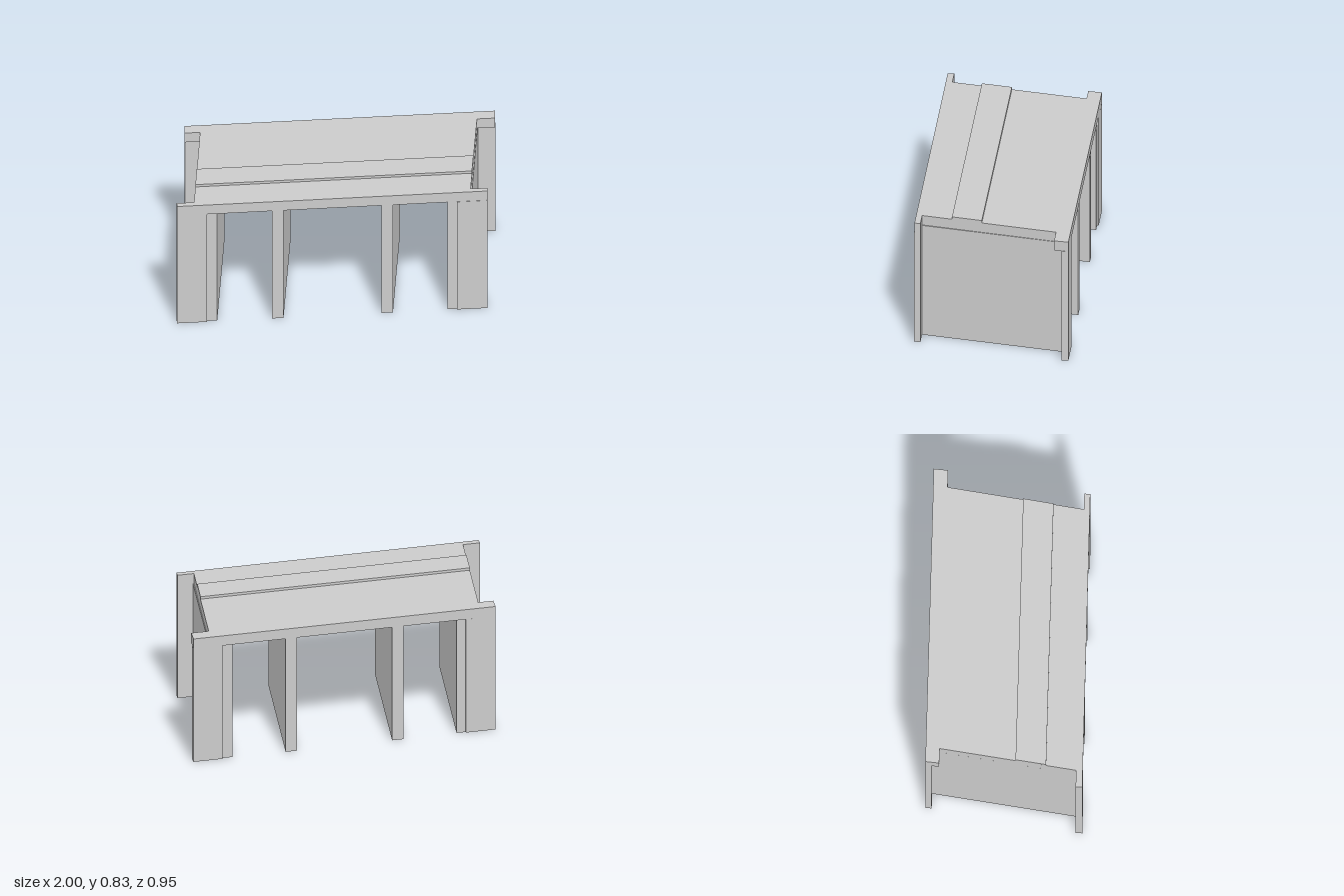
import * as THREE from 'three';

const material = new THREE.MeshStandardMaterial({ color: 0xcccccc, flatShading: true });

// Upright prism from a plan outline of [x, z] corners
function prism(name, plan, y0, y1) {
  const shape = new THREE.Shape(plan.map(([x, z]) => new THREE.Vector2(x, -z)));
  const geometry = new THREE.ExtrudeGeometry(shape, { depth: y1 - y0, bevelEnabled: false });
  geometry.rotateX(-Math.PI / 2).translate(0, y0, 0);
  const mesh = new THREE.Mesh(geometry, material);
  mesh.name = name;
  return mesh;
}

// The skewed plan repeats after a half turn about the vertical axis
const halfTurn = (plan) => plan.map(([x, z]) => [-x, -z]);

export function createModel() {
  const group = new THREE.Group();
  group.name = 'skewBridge';
  const deckBottom = 0.747, deckTop = 0.811;

  // Deck slab with small wings at its four corners
  group.add(prism('deck', [
    [-1, 0.477], [0.868, 0.466], [0.87, 0.43], [0.77, 0.43],
    [0.885, -0.39], [0.993, -0.39], [1, -0.477], [-0.868, -0.468],
    [-0.875, -0.385], [-0.782, -0.385], [-0.895, 0.437], [-1, 0.437],
  ], deckBottom, deckTop));

  // Low raised strip across the deck
  group.add(prism('raisedStrip', [
    [-0.87, 0.256], [0.795, 0.248], [0.821, 0.065], [-0.845, 0.072],
  ], deckTop, 0.827));

  // End wall with a projecting pilaster at each end
  const endWall = [
    [-1, 0.477], [-0.82, 0.476], [-0.82, 0.465], [-0.758, 0.465],
    [-0.629, -0.46], [-0.685, -0.46], [-0.685, -0.469], [-0.868, -0.468],
    [-0.87, -0.43], [-0.776, -0.43], [-0.895, 0.437], [-1, 0.437],
  ];
  group.add(prism('rightEndWall', endWall, 0, deckBottom));
  group.add(prism('leftEndWall', halfTurn(endWall), 0, deckBottom));

  // Thin skewed walls between the openings
  const innerWall = [[-0.43, 0.472], [-0.36, 0.472], [-0.229, -0.468], [-0.299, -0.468]];
  group.add(prism('rightInnerWall', innerWall, 0, deckBottom));
  group.add(prism('leftInnerWall', halfTurn(innerWall), 0, deckBottom));

  return group;
}
